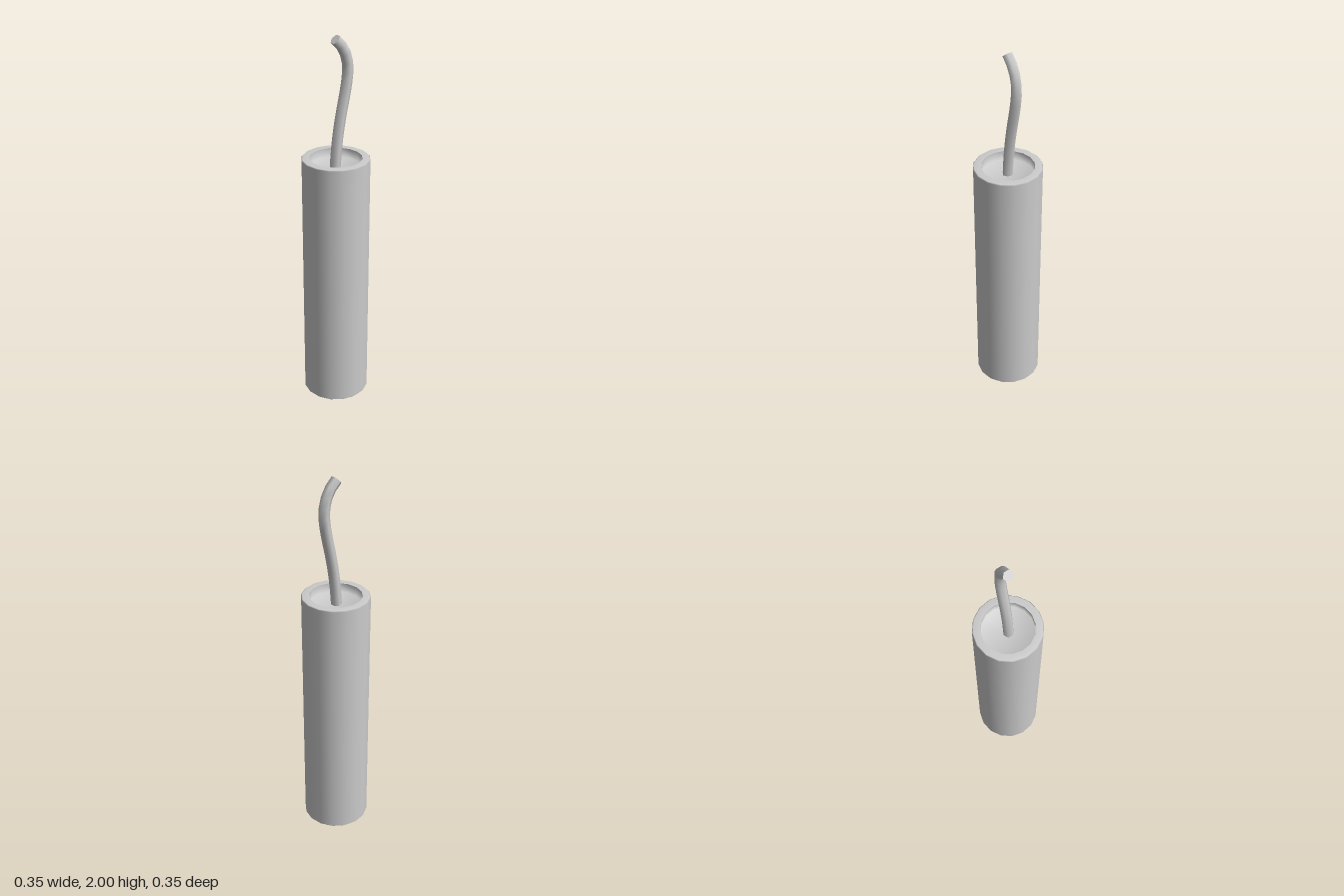
import * as THREE from 'three';

export function createModel() {
  const model = new THREE.Group();
  const material = new THREE.MeshStandardMaterial({ color: 0xcccccc });
  const SIDES = 16, R = 0.177, INNER = 0.136, H = 1.377, DEPTH = 0.05, BEVEL = 0.005;

  const add = (name, geometry) => {
    const mesh = new THREE.Mesh(geometry, material);
    mesh.name = name;
    model.add(mesh);
    return mesh;
  };
  // Profiles run bottom to top on the outside so the faces point outwards
  const lathe = (points) =>
    new THREE.LatheGeometry(points.map(([r, y]) => new THREE.Vector2(r, y)), SIDES);

  // Outer tube with softly bevelled rims at both ends
  add('casing', lathe([
    [INNER, 0], [R - BEVEL, 0], [R, BEVEL],
    [R, H - BEVEL], [R - BEVEL, H], [INNER, H],
  ]));

  // Recessed end caps: short inner wall running into a floor
  add('topRecess', lathe([[INNER, H], [INNER, H - DEPTH], [0, H - DEPTH]]));
  add('bottomRecess', lathe([[0, DEPTH], [INNER, DEPTH], [INNER, 0]]));

  // Bent six-sided fuse
  const path = new THREE.CatmullRomCurve3([
    [1.32, 0.004], [1.40, -0.002], [1.50, -0.014], [1.61, -0.034], [1.72, -0.058],
    [1.81, -0.071], [1.88, -0.065], [1.94, -0.038], [1.983, 0.004],
  ].map(([y, z]) => new THREE.Vector3(0, y, z)));
  add('fuse', new THREE.TubeGeometry(path, 14, 0.028, 6, false));

  // Flat end of the fuse
  const tip = add('fuseTip', new THREE.CircleGeometry(0.028, 6));
  tip.position.copy(path.getPoint(1));
  tip.lookAt(path.getPoint(1).add(path.getTangent(1)));

  return model;
}
